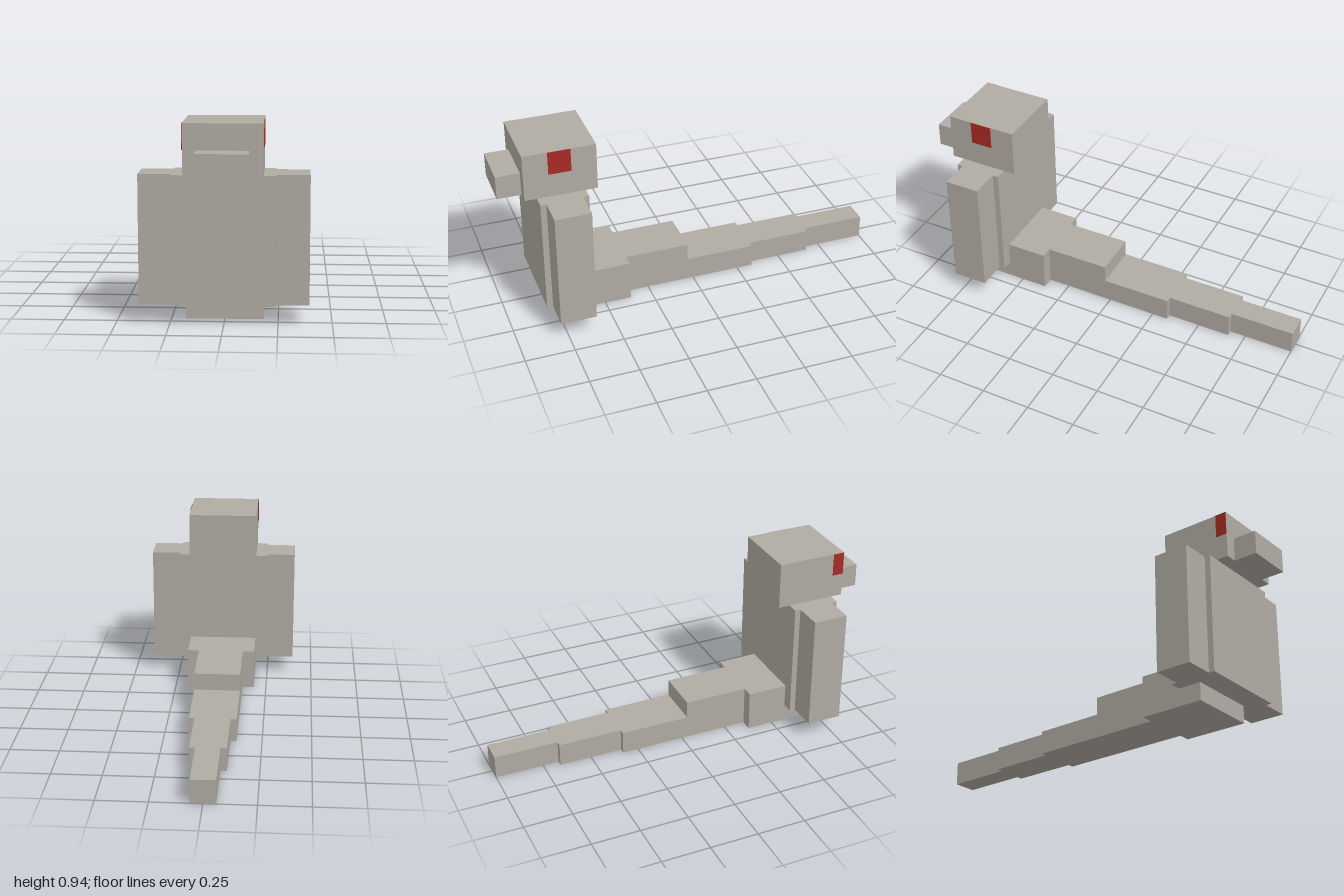
import * as THREE from 'three';

export function createModel() {
  const model = new THREE.Group();
  const stone = new THREE.MeshStandardMaterial({ color: 0xb0aba2 });
  stone.name = 'warm grey';
  const red = new THREE.MeshStandardMaterial({ color: 0xa82b23 });
  red.name = 'eye red';

  // Box given by its extents along each axis
  function block(name, [x0, x1], [y0, y1], [z0, z1], material = stone) {
    const mesh = new THREE.Mesh(new THREE.BoxGeometry(x1 - x0, y1 - y0, z1 - z0), material);
    mesh.position.set((x0 + x1) / 2, (y0 + y1) / 2, (z0 + z1) / 2);
    mesh.name = name;
    model.add(mesh);
  }

  // Head and snout
  block('head', [-0.182, 0.182], [0.697, 0.94], [0.515, 0.879]);
  block('snout', [-0.121, 0.121], [0.697, 0.818], [0.879, 1]);

  // Upright body with a slab on each side
  block('body', [-0.242, 0.242], [0.091, 0.697], [0.576, 0.818]);
  block('leftWing', [0.242, 0.394], [0.091, 0.697], [0.606, 0.788]);
  block('rightWing', [-0.394, -0.242], [0.091, 0.697], [0.606, 0.788]);

  // Tail, tapering in steps towards the back: half width, height, z range
  [
    [0.182, 0.212, 0.364, 0.697],
    [0.121, 0.212, 0.03, 0.364],
    [0.121, 0.121, -0.333, 0.03],
    [0.091, 0.121, -0.667, -0.333],
    [0.061, 0.121, -1, -0.667],
  ].forEach(([w, h, z0, z1], i) => block(`tailSegment${i + 1}`, [-w, w], [0, h], [z0, z1]));

  // Eyes, as thin plates; the right one sits at the front edge
  block('leftEye', [0.181, 0.185], [0.82, 0.939], [0.642, 0.755], red);
  block('rightEye', [-0.185, -0.181], [0.82, 0.939], [0.82, 0.878], red);

  return model;
}
